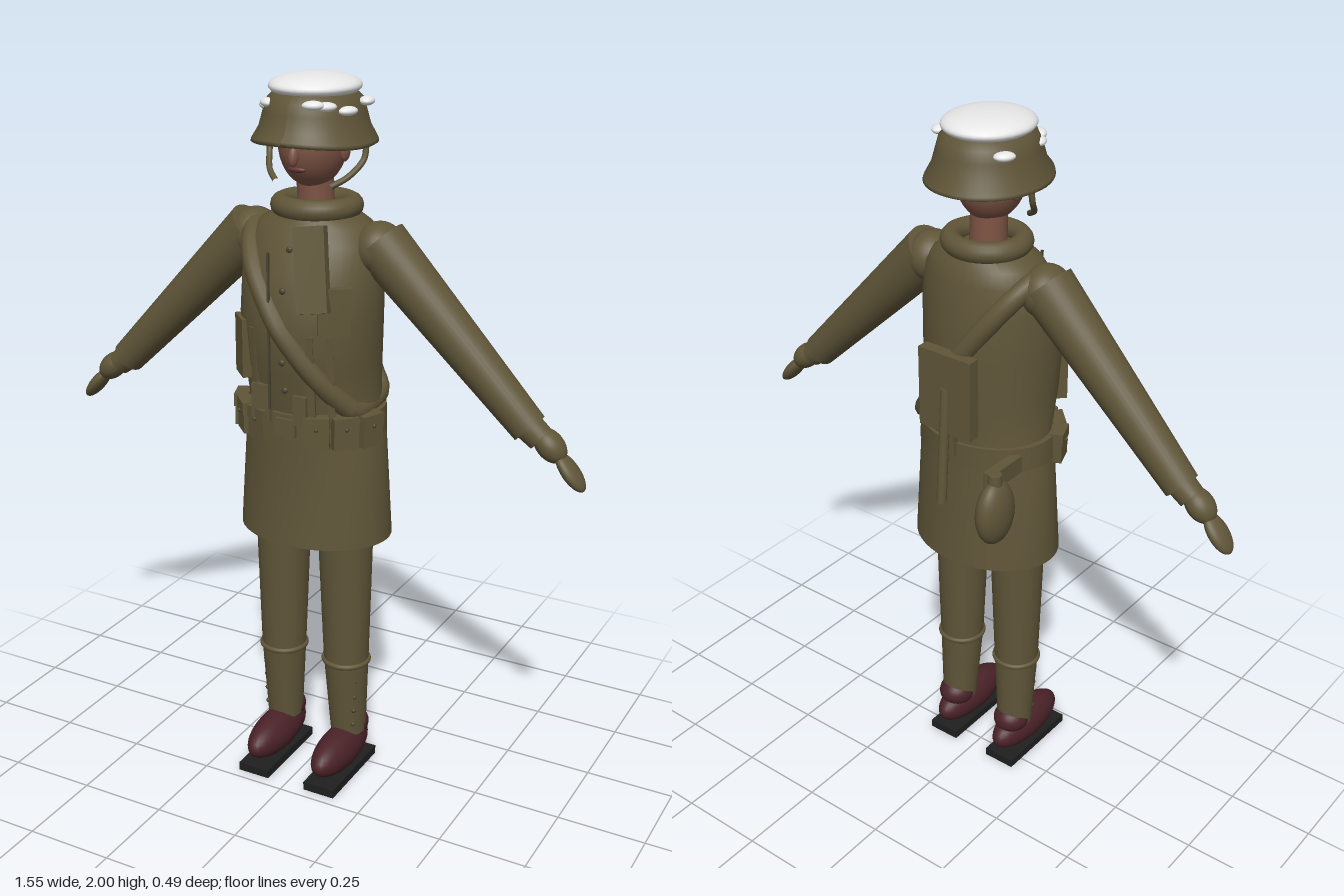
import * as THREE from 'three';
import { toCreasedNormals } from 'three/addons/utils/BufferGeometryUtils.js';

const mat = (name, color) => Object.assign(new THREE.MeshStandardMaterial({ color }), { name });

// Coat cross-sections: height, half width, centre z, half depth
const COAT = [
  [0.75, 0.22, 0.03, 0.17], [1.08, 0.2, 0.03, 0.15], [1.13, 0.185, 0.033, 0.153],
  [1.25, 0.19, 0.047, 0.168], [1.38, 0.195, 0.053, 0.174], [1.5, 0.195, 0.046, 0.16],
  [1.58, 0.18, 0.033, 0.135], [1.62, 0.155, 0.027, 0.12], [1.65, 0.1, 0.025, 0.1],
];

// Front (side 1) or back (side -1) surface of the coat
function coatZ(x, y, side = 1) {
  let i = 0;
  while (i < COAT.length - 2 && COAT[i + 1][0] < y) i++;
  const t = (y - COAT[i][0]) / (COAT[i + 1][0] - COAT[i][0]);
  const [rx, c, rz] = [1, 2, 3].map(k => COAT[i][k] + (COAT[i + 1][k] - COAT[i][k]) * t);
  return c + side * rz * Math.sqrt(Math.max(0, 1 - (x / rx) ** 2));
}

// Closed skin through elliptical rings, listed from the bottom up
function loft(rings, n = 48) {
  const pos = [], idx = [];
  const first = rings[0], last = rings[rings.length - 1];
  const all = [[first[0], 0, first[2], 0], ...rings, [last[0], 0, last[2], 0]];
  all.forEach(([y, rx, c, rz]) => {
    for (let j = 0; j < n; j++) {
      const a = (j / n) * Math.PI * 2;
      pos.push(Math.sin(a) * rx, y, c + Math.cos(a) * rz);
    }
  });
  for (let i = 0; i < all.length - 1; i++) for (let j = 0; j < n; j++) {
    const a = i * n + j, b = i * n + (j + 1) % n;
    if (i > 0) idx.push(a, b, b + n);
    if (i < all.length - 2) idx.push(a, b + n, a + n);
    if (i === 0) idx.push(a, b + n, a + n);
  }
  const g = new THREE.BufferGeometry();
  g.setAttribute('position', new THREE.Float32BufferAttribute(pos, 3));
  g.setIndex(idx);
  return toCreasedNormals(g, 0.7);
}

export function createModel() {
  const model = new THREE.Group();
  const olive = mat('olive cloth', 0x5f5538);
  const dark = mat('dark olive', 0x4a4430);
  const skin = mat('skin', 0x7d5344);
  const lip = mat('lips', 0x633434);
  const black = mat('black', 0x1f1f20);
  const maroon = mat('maroon leather', 0x4a2228);
  const white = mat('white', 0xe8e8e8);

  const add = (name, geo, m, p = [0, 0, 0], r = [0, 0, 0], parent = model) => {
    const mesh = new THREE.Mesh(geo, m);
    mesh.name = name;
    mesh.position.set(...p);
    mesh.rotation.set(...r);
    parent.add(mesh);
    return mesh;
  };
  const box = (name, size, m, p, r, parent) => add(name, new THREE.BoxGeometry(...size), m, p, r, parent);
  const ball = (name, size, m, p, r, parent) =>
    add(name, new THREE.SphereGeometry(1, 32, 20).scale(...size), m, p, r, parent);
  const rod = (name, a, b, ra, rb, m, parent) => {
    const A = new THREE.Vector3(...a), B = new THREE.Vector3(...b), d = B.clone().sub(A);
    const mesh = add(name, new THREE.CylinderGeometry(rb, ra, d.length(), 32), m, A.clone().add(B).divideScalar(2).toArray(), [0, 0, 0], parent);
    mesh.quaternion.setFromUnitVectors(new THREE.Vector3(0, 1, 0), d.normalize());
    return mesh;
  };
  const ring = (name, r, tube, zs, m, p, parent) =>
    add(name, new THREE.TorusGeometry(r, tube, 14, 48).rotateX(Math.PI / 2).scale(1, 1, zs), m, p, [0, 0, 0], parent);
  const tube = (name, pts, r, m, closed = false, parent = model) =>
    add(name, new THREE.TubeGeometry(new THREE.CatmullRomCurve3(pts.map(p => new THREE.Vector3(...p)), closed), 80, r, 12, closed), m, [0, 0, 0], [0, 0, 0], parent);

  // Coat and collar
  add('coat', loft(COAT), olive);
  ring('collar', 0.095, 0.029, 0.95, olive, [0, 1.66, 0.025]);
  box('lapel', [0.085, 0.22, 0.028], olive, [0.075, 1.53, 0.192], [-0.27, 0.1, 0.18]);
  box('coatSeam', [0.006, 0.42, 0.006], dark, [-0.035, 1.36, coatZ(0.035, 1.36)]);
  for (const y of [1.57, 1.47, 1.37, 1.28, 1.2]) ball('coatButton', [0.009, 0.009, 0.006], dark, [0, y, coatZ(0, y)]);
  box('chestPocket', [0.085, 0.12, 0.035], olive, [0.13, 1.425, coatZ(0.13, 1.425)], [0, 0.6, 0]);
  box('chestPocketFlap', [0.088, 0.035, 0.04], olive, [0.131, 1.47, coatZ(0.13, 1.47) + 0.003], [0, 0.6, 0]);
  box('sidePocket', [0.08, 0.16, 0.03], olive, [-0.15, 1.29, coatZ(0.15, 1.29)], [0, -0.8, 0]);
  for (const x of [-0.095, 0.075, 0.12])
    box('beltStrap', [0.02, 0.24, 0.012], olive, [x, 1.24, coatZ(x, 1.24)], [0.08, x * 4, 0]);

  // Bandolier looping over the right shoulder to the left hip
  const loop = [];
  for (let i = 0; i < 20; i++) {
    const a = (i / 20) * Math.PI * 2, x = -0.008 + 0.165 * Math.cos(a), y = 1.36 - 1.4 * x;
    loop.push([x, y, coatZ(x, y, Math.sin(a) >= 0 ? 1 : -1) - Math.sin(a) * 0.01]);
  }
  tube('bandolier', loop, 0.029, olive, true);

  // Belt with ammunition pouches
  add('belt', loft([[1.06, 0.203, 0.034, 0.163], [1.13, 0.2, 0.034, 0.163]]), olive);
  box('buckle', [0.06, 0.05, 0.015], olive, [0, 1.095, 0.198]);
  for (const s of [-1, 1]) for (const a of [0.42, 0.8, 1.2]) {
    const p = [s * Math.sin(a) * 0.208, 1.09, 0.034 + Math.cos(a) * 0.165];
    box('ammoPouch', [0.068, 0.085, 0.034], olive, p, [0, s * a, 0]);
    box('pouchFlap', [0.07, 0.035, 0.04], olive, [p[0], 1.118, p[2]], [0, s * a, 0]);
    ball('pouchStud', [0.006, 0.006, 0.006], dark, [p[0] + s * Math.sin(a) * 0.02, 1.105, p[2] + Math.cos(a) * 0.02]);
  }
  box('tallPouch', [0.055, 0.1, 0.025], olive, [-0.075, 1.155, 0.19]);
  box('smallPouch', [0.04, 0.08, 0.025], olive, [0.045, 1.15, 0.195]);

  // Entrenching tool on the back
  box('shovelCover', [0.17, 0.23, 0.035], olive, [0, 1.285, -0.14]);
  rod('shovelHandle', [0, 1.3, -0.15], [0, 0.96, -0.175], 0.014, 0.014, olive);
  box('shovelStrap', [0.03, 0.1, 0.02], olive, [0, 1.14, -0.13]);

  // Canteen
  ball('canteen', [0.042, 0.095, 0.068], olive, [-0.185, 1.005, -0.18]);
  rod('canteenNeck', [-0.185, 1.08, -0.18], [-0.185, 1.12, -0.18], 0.02, 0.018, olive);
  box('canteenStrap', [0.03, 0.05, 0.13], olive, [-0.165, 1.09, -0.12]);

  // Arms and gloved hands, legs and shoes
  for (const s of [-1, 1]) {
    const arm = new THREE.Group();
    arm.name = s > 0 ? 'leftArm' : 'rightArm';
    model.add(arm);
    ball('shoulder', [0.065, 0.07, 0.075], olive, [s * 0.185, 1.565, 0.03], [0, 0, 0], arm);
    rod('sleeve', [s * 0.187, 1.58, 0.03], [s * 0.618, 1.148, 0.03], 0.074, 0.048, olive, arm);
    rod('wrist', [s * 0.6, 1.165, 0.03], [s * 0.65, 1.125, 0.03], 0.04, 0.036, olive, arm);
    ball('palm', [0.035, 0.052, 0.04], olive, [s * 0.675, 1.112, 0.03], [0, 0, s * 0.8], arm);
    ball('fingers', [0.02, 0.06, 0.036], olive, [s * 0.733, 1.05, 0.03], [0, 0, s * 0.7], arm);

    const leg = new THREE.Group();
    leg.name = s > 0 ? 'leftLeg' : 'rightLeg';
    model.add(leg);
    rod('trouser', [s * 0.102, 0.35, 0.04], [s * 0.098, 0.8, 0.042], 0.064, 0.079, olive, leg);
    rod('gaiter', [s * 0.105, 0.12, 0.03], [s * 0.102, 0.36, 0.04], 0.051, 0.064, olive, leg);
    ring('gaiterBand', 0.063, 0.008, 1, olive, [s * 0.102, 0.355, 0.04], leg);
    for (const y of [0.16, 0.205, 0.25, 0.3])
      ball('gaiterButton', [0.007, 0.007, 0.007], dark, [s * (0.141 + (y - 0.16) * 0.04), y, 0.07], [0, 0, 0], leg);
    ball('ankle', [0.053, 0.045, 0.058], maroon, [s * 0.105, 0.133, 0.018], [0, 0, 0], leg);
    ball('shoe', [0.055, 0.06, 0.145], maroon, [s * 0.105, 0.08, 0.083], [0, 0, 0], leg);
    box('sole', [0.096, 0.025, 0.27], black, [s * 0.107, 0.0125, 0.085], [0, 0, 0], leg);
  }

  // Head and face
  const head = new THREE.Group();
  head.name = 'head';
  model.add(head);
  rod('neck', [0, 1.63, 0.03], [0, 1.77, 0.035], 0.05, 0.048, skin, head);
  ball('skull', [0.086, 0.115, 0.103], skin, [0, 1.825, 0.045], [0, 0, 0], head);
  ball('nose', [0.013, 0.028, 0.016], skin, [0, 1.805, 0.148], [-0.2, 0, 0], head);
  ball('mouth', [0.026, 0.008, 0.01], lip, [0, 1.768, 0.131], [0, 0, 0], head);
  for (const s of [-1, 1]) {
    ball('eye', [0.015, 0.006, 0.008], black, [s * 0.034, 1.832, 0.137], [0, 0, 0], head);
    box('brow', [0.035, 0.007, 0.009], black, [s * 0.035, 1.85, 0.136], [0, s * 0.3, s * 0.1], head);
    ball('ear', [0.013, 0.03, 0.02], skin, [s * 0.086, 1.81, 0.035], [0, 0, 0], head);
    tube('chinStrap', [[s * 0.14, 1.83, 0.02], [s * 0.138, 1.79, 0.03], [s * 0.115, 1.75, 0.07], [s * 0.08, 1.726, 0.1]], 0.008, olive, false, head);
  }

  // Helmet with a flared brim, hollow underneath
  const profile = [[0.1, 1.87], [0.153, 1.822], [0.16, 1.826], [0.158, 1.834], [0.14, 1.868], [0.13, 1.905], [0.122, 1.935], [0.1, 1.958], [0.05, 1.972], [0, 1.975]];
  const shell = new THREE.LatheGeometry(profile.map(p => new THREE.Vector2(...p)), 48).scale(1, 1, 1.12);
  const v = shell.attributes.position;
  for (let i = 0; i < v.count; i++) // lift the brim a little over the face
    if (v.getY(i) < 1.86) v.setY(i, v.getY(i) + 0.015 * Math.max(0, v.getZ(i) / 0.18) ** 2);
  shell.computeVertexNormals();
  const helmetCloth = olive.clone();
  helmetCloth.side = THREE.DoubleSide;
  add('helmet', shell, helmetCloth, [0, 0, 0.035], [0, 0, 0], head);

  // White crown cover and small tufts
  ball('crownCover', [0.118, 0.033, 0.128], white, [0, 1.967, 0.033], [0, 0, 0], head);
  for (const [x, z, y] of [[-0.11, -0.05, 1.925], [-0.082, 0.13, 1.93], [0.082, 0.13, 1.93], [0.12, 0.085, 1.917], [0.13, 0, 1.932], [-0.1, 0.105, 1.92], [0.06, 0.155, 1.935]])
    ball('tuft', [0.028, 0.012, 0.02], white, [x, y, z], [0, Math.atan2(x, z - 0.035), 0], head);

  return model;
}
